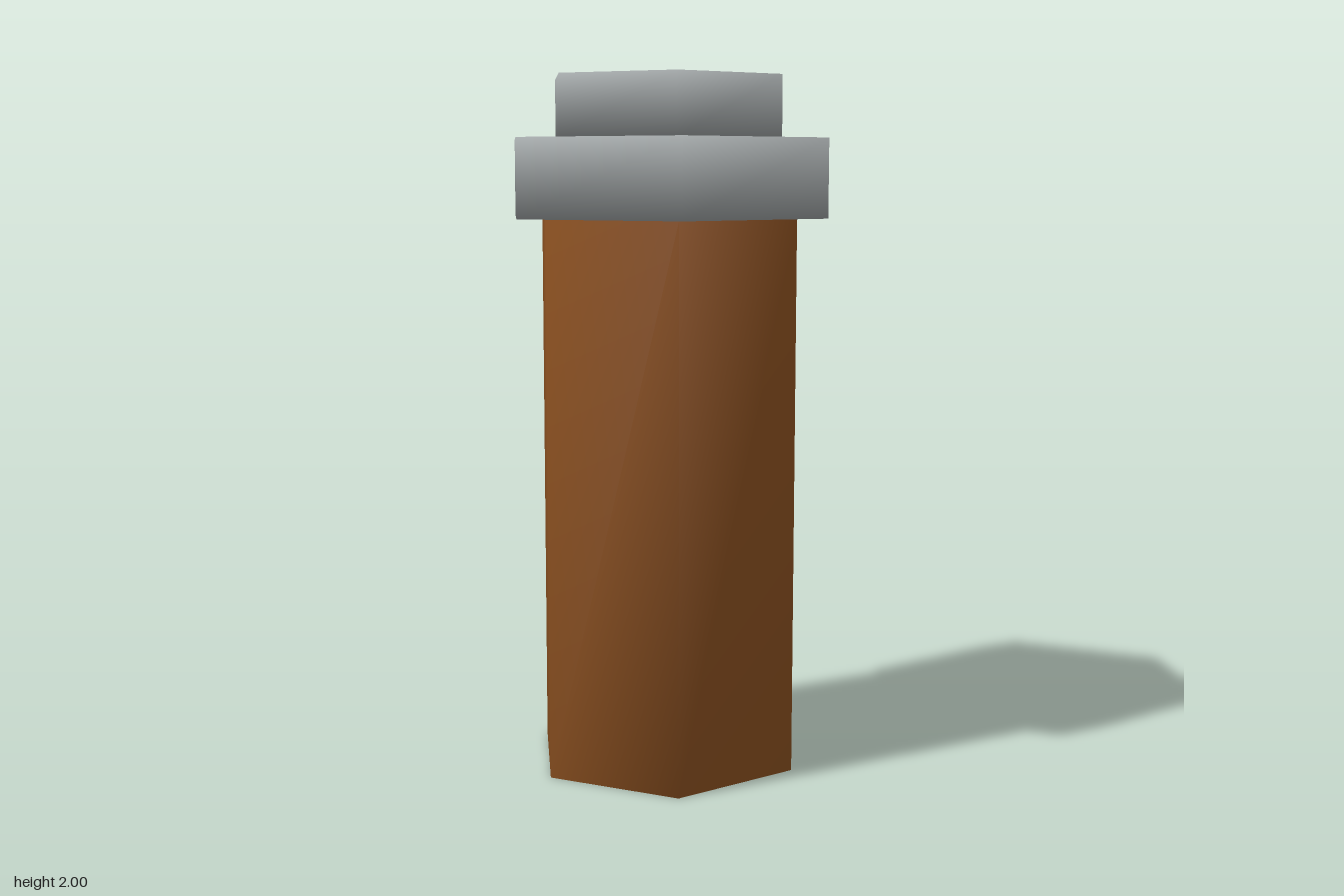
import * as THREE from 'three';
import { mergeVertices } from 'three/addons/utils/BufferGeometryUtils.js';

// Hexagonal prism with corners on +z and -z, and normals shared across its edges
function hexPrism(name, radius, bottom, top, material) {
  let geometry = new THREE.CylinderGeometry(radius, radius, top - bottom, 6, 1);
  geometry.deleteAttribute('normal');
  geometry.deleteAttribute('uv');
  geometry = mergeVertices(geometry, 1e-4);
  geometry.computeVertexNormals();
  const mesh = new THREE.Mesh(geometry, material);
  mesh.name = name;
  mesh.position.y = (bottom + top) / 2;
  return mesh;
}

export function createModel() {
  const wood = new THREE.MeshStandardMaterial({ color: 0x8b5020 });
  wood.name = 'brown wood';
  const metal = new THREE.MeshStandardMaterial({ color: 0xa0a5a6 });
  metal.name = 'grey metal';

  const model = new THREE.Group();
  model.name = 'hexagonalPost';
  model.add(
    hexPrism('shaft', 0.405, 0, 1.603, wood),
    hexPrism('collar', 0.497, 1.603, 1.825, metal),
    hexPrism('cap', 0.358, 1.825, 2, metal)
  );
  return model;
}
